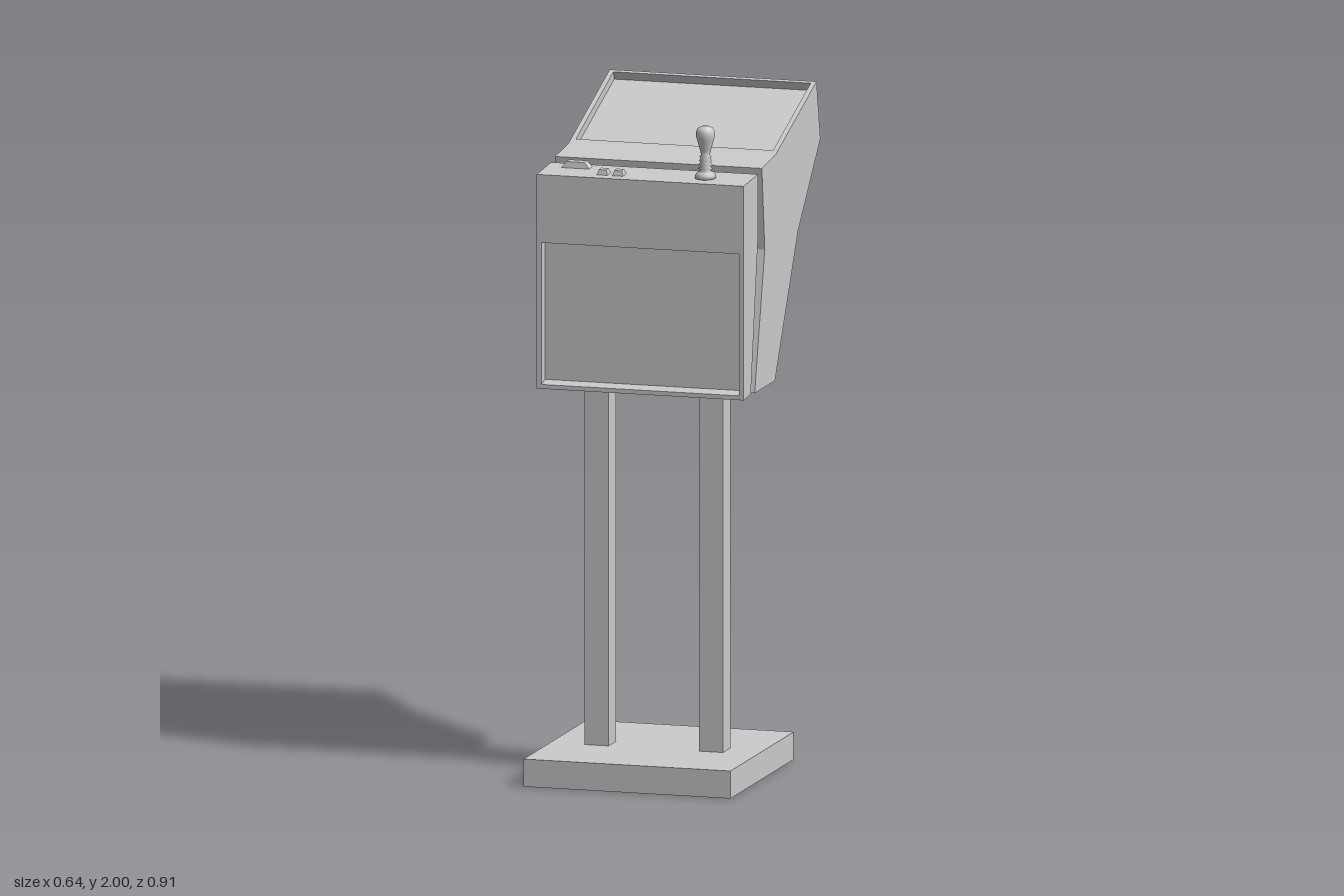
import * as THREE from 'three';

const material = new THREE.MeshStandardMaterial({ color: 0xcccccc });
const HALF = 0.32;    // half width of the cabinet
const INNER = 0.305;  // half width of the recessed panels

function add(parent, name, geometry, x = 0, y = 0, z = 0) {
  const mesh = new THREE.Mesh(geometry, material);
  mesh.name = name;
  mesh.position.set(x, y, z);
  parent.add(mesh);
  return mesh;
}

// Side profile of [z, y] points, extruded across x from x0 to x1
function slab(profile, x0, x1) {
  const shape = new THREE.Shape(profile.map(([z, y]) => new THREE.Vector2(z, y)));
  const geometry = new THREE.ExtrudeGeometry(shape, { depth: x1 - x0, bevelEnabled: false });
  return geometry.rotateY(-Math.PI / 2).translate(x1, 0, 0);
}

// Cabinet section: notched middle between two full side walls
function section(parent, name, full, notched) {
  const group = new THREE.Group();
  group.name = name;
  add(group, name + 'Middle', slab(notched, -INNER, INNER));
  add(group, name + 'RightWall', slab(full, -HALF, -INNER));
  add(group, name + 'LeftWall', slab(full, INNER, HALF));
  parent.add(group);
}

// Key with sloping sides
function keyGeometry(w, h, d, insetX, insetZ) {
  const box = new THREE.BoxGeometry(w, h, d).toNonIndexed();
  const p = box.attributes.position;
  for (let i = 0; i < p.count; i++) {
    if (p.getY(i) < 0) continue;
    p.setX(i, p.getX(i) - Math.sign(p.getX(i)) * insetX);
    p.setZ(i, p.getZ(i) - Math.sign(p.getZ(i)) * insetZ);
  }
  box.computeVertexNormals();
  return box;
}

export function createModel() {
  const model = new THREE.Group();
  model.name = 'cabinet';

  // Stand
  add(model, 'base', new THREE.BoxGeometry(0.64, 0.083, 0.64), 0, 0.0415, 0.135);
  for (const side of [-1, 1]) {
    add(model, side < 0 ? 'rightLeg' : 'leftLeg',
      new THREE.BoxGeometry(0.075, 1.11, 0.077), side * 0.177, 0.635, 0.147);
  }

  // Front box with a recessed front panel
  const boxBack = [[0.178, 1.83], [0.178, 1.63], [0.25, 1.18]];
  const boxFront = [[0.322, 1.175], [0.322, 1.82]];
  section(model, 'frontBox',
    [...boxBack, ...boxFront],
    [...boxBack, boxFront[0], [0.322, 1.188], [0.287, 1.197], [0.287, 1.615], [0.322, 1.615], boxFront[1]]);

  // Head with a recessed screen in its sloping top
  const headRear = [[-0.417, 2], [-0.455, 1.82], [-0.23, 1.585], [0.005, 1.176],
    [0.21, 1.176], [0.108, 1.59], [0.137, 1.84], [0, 1.855]];
  const slope = (t, depth) => [-0.417 * t - 0.328 * depth, 1.855 + 0.145 * t - 0.945 * depth];
  section(model, 'head',
    headRear,
    [...headRear, slope(0.06, 0), slope(0.06, 0.025), slope(0.972, 0.025), slope(0.972, 0)]);

  // Inset spacer between the front box and the head
  add(model, 'spacer', slab([[0.19, 1.8], [0.12, 1.805], [0.1, 1.59], [0.19, 1.21],
    [0.255, 1.21], [0.19, 1.63]], -0.29, 0.29));

  // Controls lie on the gently sloping box top
  const controls = new THREE.Group();
  controls.name = 'controls';
  controls.position.set(0, 1.825, 0.25);
  controls.rotation.x = 0.07;
  model.add(controls);
  add(controls, 'wideKey', keyGeometry(0.093, 0.022, 0.036, 0.019, 0.006), -0.229, 0.007, -0.037);
  for (const x of [-0.128, -0.08]) {
    add(controls, 'smallKey', keyGeometry(0.035, 0.018, 0.035, 0.006, 0.006), x, 0.006, 0.022);
  }

  // Joystick: flared foot, ribbed boot and bulbous grip
  const profile = [[0, 0], [0.031, 0], [0.031, 0.012], [0.024, 0.02]];
  for (let i = 0; i < 4; i++) {
    const y = 0.025 + i * 0.012;
    profile.push([0.014, y], [0.023 - i * 0.0015, y + 0.006]);
  }
  profile.push([0.013, 0.073], [0.016, 0.085], [0.024, 0.115], [0.028, 0.127],
    [0.028, 0.142], [0.023, 0.152], [0.012, 0.158], [0, 0.159]);
  const stick = new THREE.LatheGeometry(profile.map(([r, y]) => new THREE.Vector2(r, y)), 24);
  add(model, 'joystick', stick, 0.18, 1.822, 0.25);

  return model;
}
